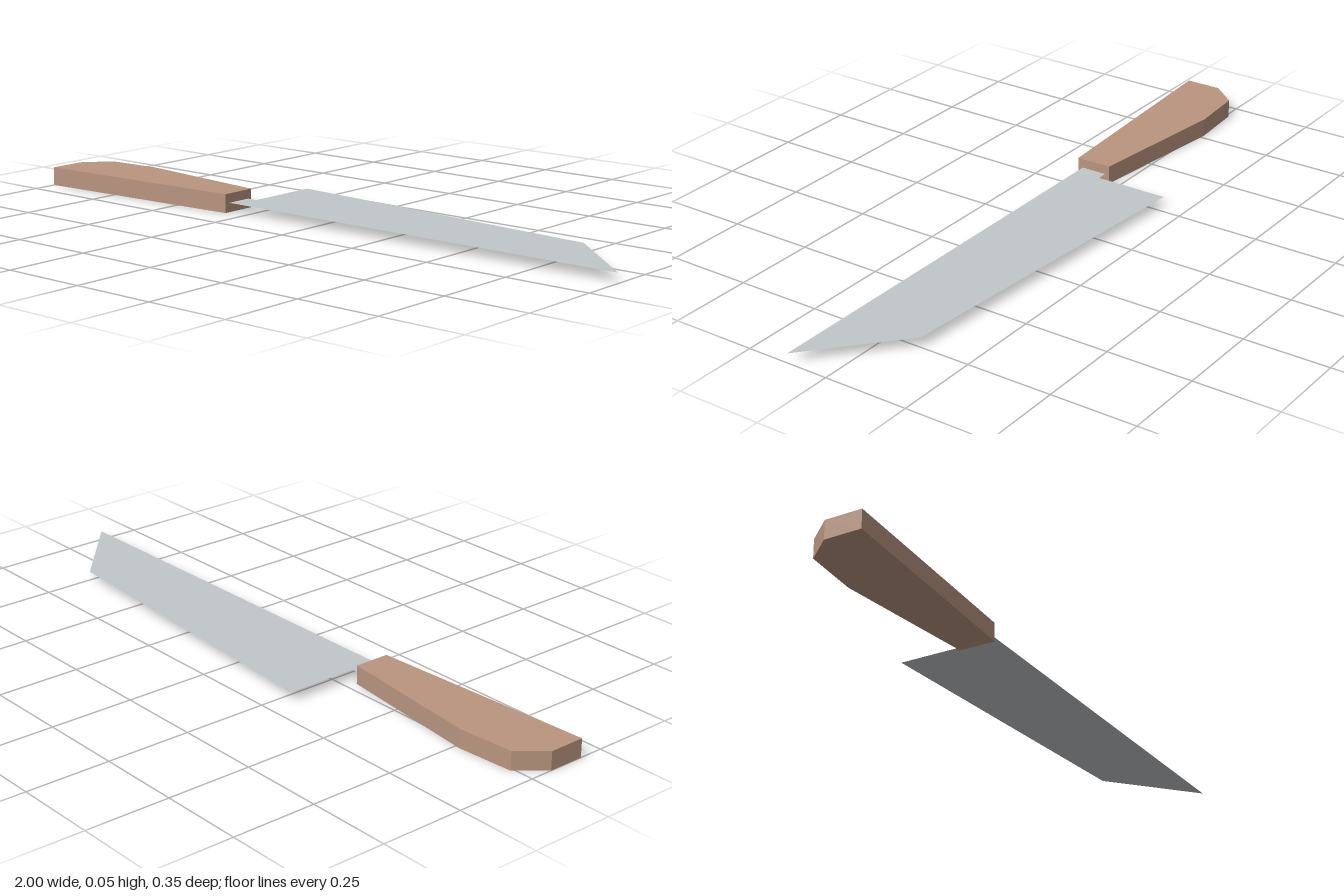
import * as THREE from 'three';

// Outline given as [x, z] points, turned into a shape lying on the ground plane
function outline(points) {
  return new THREE.Shape(points.map(([x, z]) => new THREE.Vector2(x, -z)));
}

export function createModel() {
  const wood = new THREE.MeshStandardMaterial({ color: 0xb9957f });
  wood.name = 'wood';
  const steel = new THREE.MeshStandardMaterial({ color: 0xc1c6c9 });
  steel.name = 'steel';
  steel.side = THREE.DoubleSide;

  const thickness = 0.055;
  const knife = new THREE.Group();
  knife.name = 'knife';

  // Handle: faceted slab with a bevelled butt
  const handleGeometry = new THREE.ExtrudeGeometry(
    outline([
      [-1, 0.177], [-0.315, 0.14], [-0.315, 0.032],
      [-0.765, -0.022], [-0.935, -0.01], [-1, 0.068],
    ]),
    { depth: thickness, bevelEnabled: false },
  ).rotateX(-Math.PI / 2);
  const handle = new THREE.Mesh(handleGeometry, wood);
  handle.name = 'handle';

  // Blade: thin sheet at mid-height of the handle, with a short tang at the heel
  const bladeGeometry = new THREE.ShapeGeometry(
    outline([
      [-0.315, 0.124], [1, 0.124], [0.748, -0.1],
      [-0.283, -0.177], [-0.283, 0.045], [-0.315, 0.045],
    ]),
  ).rotateX(-Math.PI / 2);
  const blade = new THREE.Mesh(bladeGeometry, steel);
  blade.name = 'blade';
  blade.position.y = thickness / 2;

  knife.add(handle, blade);
  return knife;
}
